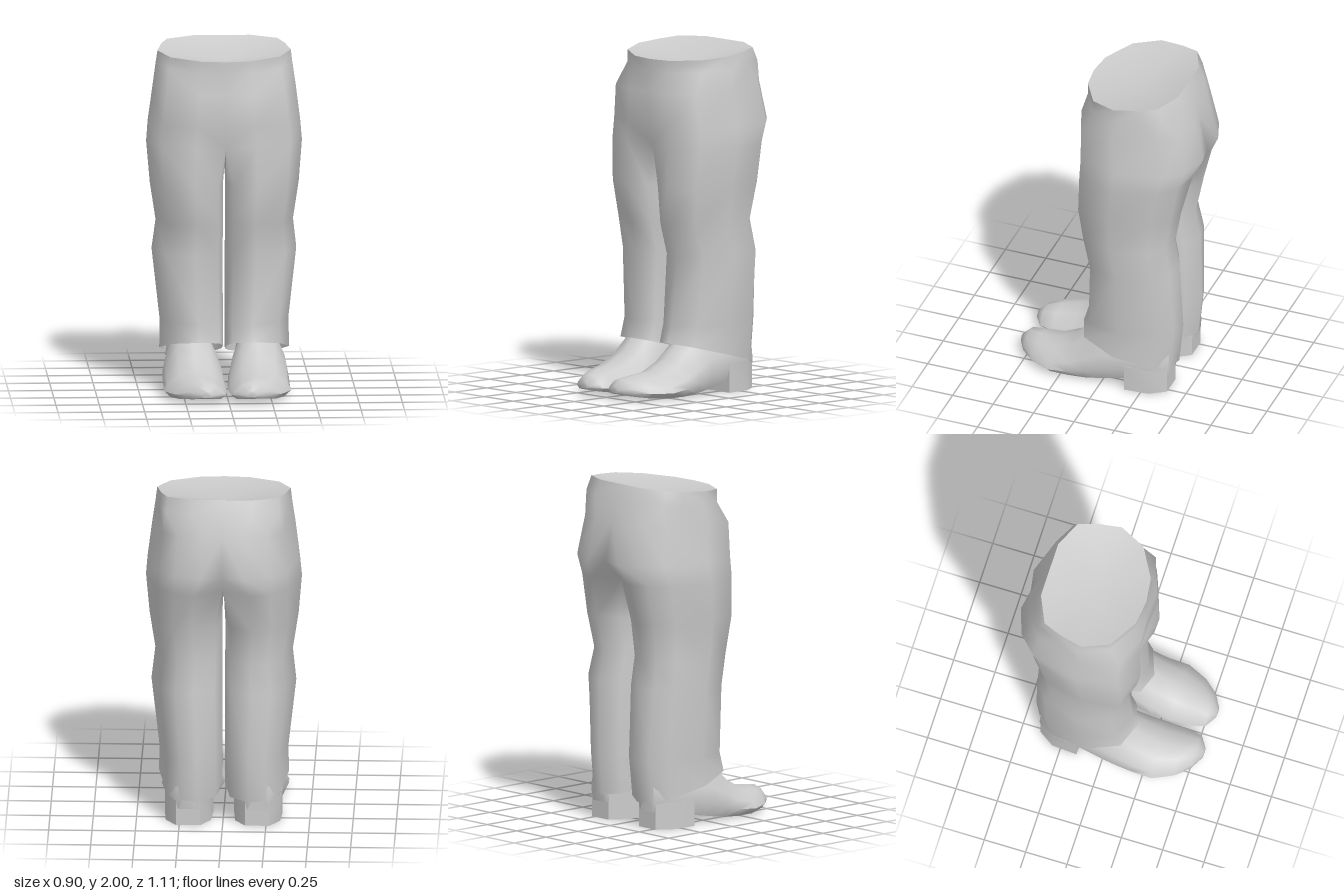
import * as THREE from 'three';
import { mergeGeometries, mergeVertices, toCreasedNormals } from 'three/addons/utils/BufferGeometryUtils.js';

// Indexed geometry from points and triangles
function build(points, index) {
  const g = new THREE.BufferGeometry();
  g.setAttribute('position', new THREE.Float32BufferAttribute(points.flat(), 3));
  g.setIndex(index);
  return g;
}

// Skin a list of rings; closed rings join their last point to the first
function loft(rings, closed) {
  const n = rings[0].length, index = [];
  for (let i = 0; i < rings.length - 1; i++) {
    for (let j = 0; j < (closed ? n : n - 1); j++) {
      const k = (j + 1) % n;
      const a = i * n + j, b = i * n + k, c = a + n, d = b + n;
      index.push(a, c, b, b, c, d);
    }
  }
  return build(rings.flat(), index);
}

// Fan from a centre point to a ring
function fan(ring, centre, closed, flip) {
  const n = ring.length, index = [];
  for (let j = 0; j < (closed ? n : n - 1); j++) {
    const k = (j + 1) % n;
    index.push(n, flip ? k : j, flip ? j : k);
  }
  return build([...ring, centre], index);
}

// Copy of a geometry on the other side of x = 0
function mirror(g) {
  const m = g.clone().scale(-1, 1, 1);
  const ix = m.index.array;
  for (let i = 0; i < ix.length; i += 3) [ix[i], ix[i + 1]] = [ix[i + 1], ix[i]];
  return m;
}

function smooth(parts) {
  const g = mergeVertices(mergeGeometries(parts), 1e-4);
  g.computeVertexNormals();
  return g;
}

// Half cross-sections as [share of width, share of depth from front to back]
const WAIST = [[0, 0], [.37, .03], [.82, .2], [1, .46], [.93, .7], [.83, .88], [.43, 1], [0, 1]];
const HIP = [[0, .01], [.37, 0], [.83, .1], [1, .42], [.84, .8], [.62, .93], [.28, 1], [0, .97]];
const CROTCH = [[0, .06], [.38, 0], [.83, .1], [1, .43], [.84, .8], [.62, .94], [.36, 1], [0, .87],
  [0, .65], [0, .35]];
const LEG = [[.1, .08], [.42, 0], [.83, .1], [1, .44], [.87, .82], [.66, .96], [.4, 1], [.11, .9],
  [.025, .65], [.025, .33]];

// One row: shape, height at front and back, front z, back z, half width
function row([shape, yf, yb, zf, zb, w]) {
  return shape.map(([u, t]) => [u * w, yf + (yb - yf) * t, zf + (zb - zf) * t]);
}

const PELVIS_ROWS = [
  [WAIST, 1.94, 2.0, .165, -.42, .385],
  [WAIST, 1.87, 1.92, .165, -.455, .395],
  [HIP, 1.75, 1.79, .183, -.505, .413],
  [HIP, 1.56, 1.56, .18, -.555, .44],
];
const LEG_ROWS = [
  [CROTCH, 1.44, 1.44, .18, -.5, .45],
  [LEG, 1.2, 1.2, .188, -.44, .43],
  [LEG, .98, .99, .16, -.4, .397],
  [LEG, .8, .82, .11, -.43, .418],
  [LEG, .4, .4, .135, -.445, .372],
  [LEG, .3, .15, .165, -.42, .375],
];

// Shoe stations: z, bottom, top, inner x, outer x
const SHOE_ROWS = [
  [.555, .045, .085, .1, .16],
  [.51, .03, .125, .03, .24],
  [.43, .018, .14, .012, .31],
  [.31, .01, .16, .005, .365],
  [.2, .01, .22, .005, .365],
  [.1, .018, .32, .012, .365],
  [0, .035, .4, .03, .36],
  [-.15, .062, .42, .06, .34],
  [-.3, .09, .42, .07, .33],
  [-.395, .1, .38, .13, .27],
];
const SHOE = [[.1, 0], [.9, 0], [1, .22], [.95, .45], [.76, .85], [.5, 1], [.24, .85], [.05, .45], [0, .22]];

function shoeGeometry() {
  const rings = SHOE_ROWS.map(([z, b, t, x0, x1]) =>
    SHOE.map(([u, v]) => [x0 + u * (x1 - x0), b + v * (t - b), z]));
  const g = mergeGeometries([
    loft(rings, true),
    fan(rings[0], [.13, .065, .555], true, false),
    fan(rings[rings.length - 1], [.2, .24, -.4], true, true),
  ]);
  return toCreasedNormals(g, 1.05);
}

// Heel block with a rounded back, drawn in plan and raised
function heelGeometry() {
  const plan = new THREE.Shape();
  plan.moveTo(.06, .15);
  plan.lineTo(.34, .15);
  plan.lineTo(.33, .3);
  plan.lineTo(.27, .39);
  plan.lineTo(.13, .39);
  plan.lineTo(.07, .3);
  const g = new THREE.ExtrudeGeometry(plan, { depth: .16, bevelEnabled: false });
  g.rotateX(-Math.PI / 2);
  return toCreasedNormals(g, .9);
}

export function createModel() {
  const model = new THREE.Group();
  const grey = new THREE.MeshStandardMaterial({ color: 0xcccccc, side: THREE.DoubleSide });
  const add = (name, geometry, parent = model) => {
    const mesh = new THREE.Mesh(geometry, grey);
    mesh.name = name;
    parent.add(mesh);
    return mesh;
  };

  // Trousers: the pelvis strip meets the outer points of the first leg ring
  const pelvisRings = PELVIS_ROWS.map(row), legRings = LEG_ROWS.map(row);
  const pelvis = loft([...pelvisRings, legRings[0].slice(0, 8)], false);
  const leg = loft(legRings, true);
  add('trousers', smooth([pelvis, leg, mirror(pelvis), mirror(leg)]));

  // Sunken cap inside the waist
  const cap = fan(pelvisRings[0], [0, 1.9, -.13], false, false);
  add('waistCap', smooth([cap, mirror(cap)]));

  // Shoes
  for (const [side, s] of [['left', 1], ['right', -1]]) {
    const shoe = new THREE.Group();
    shoe.name = side + 'Shoe';
    add('upper', shoeGeometry(), shoe);
    add('heel', heelGeometry(), shoe);
    shoe.scale.x = s;
    model.add(shoe);
  }
  return model;
}
